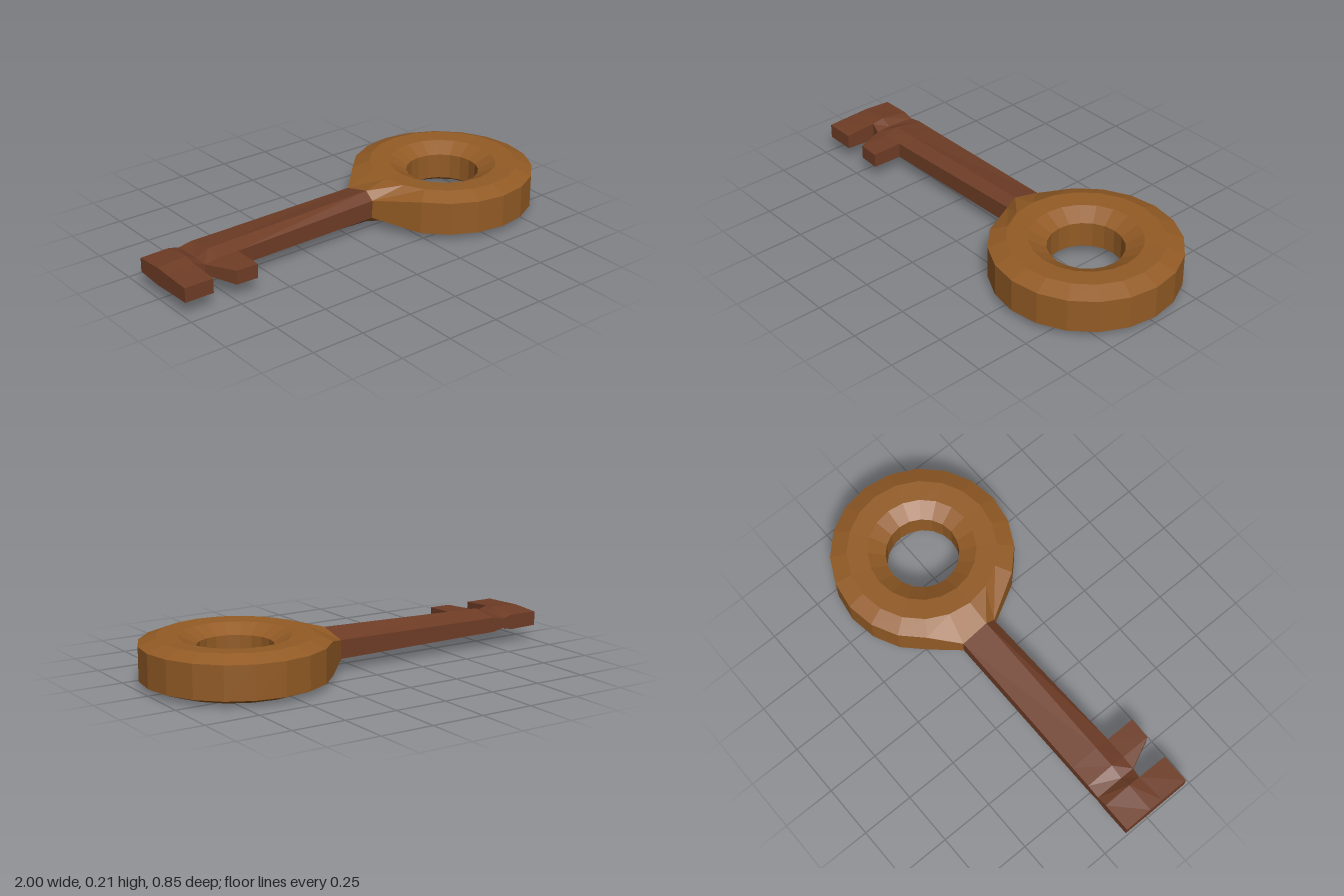
import * as THREE from 'three';

const MID = 0.108; // height of the plane of symmetry

// Skin between neighbouring closed sections; optional wrap-around and start cap.
function loft(sections, { wrap = false, cap = false } = {}) {
  const pos = [];
  const tri = (a, b, c) => pos.push(...a, ...b, ...c);
  const n = sections.length;
  const m = sections[0].length;
  for (let i = 0; i < (wrap ? n : n - 1); i++) {
    const s = sections[i];
    const t = sections[(i + 1) % n];
    for (let j = 0; j < m; j++) {
      const k = (j + 1) % m;
      tri(s[j], t[j], t[k]);
      tri(s[j], t[k], s[k]);
    }
  }
  if (cap) for (let j = 1; j < m - 1; j++) tri(sections[0][0], sections[0][j], sections[0][j + 1]);
  const geo = new THREE.BufferGeometry();
  geo.setAttribute('position', new THREE.Float32BufferAttribute(pos, 3));
  geo.computeVertexNormals();
  return geo;
}

export function createModel() {
  const group = new THREE.Group();
  const bowMat = new THREE.MeshStandardMaterial({ color: 0x935b25, flatShading: true });
  bowMat.name = 'golden brown';
  const shankMat = new THREE.MeshStandardMaterial({ color: 0x6f3d26, flatShading: true });
  shankMat.name = 'red brown';

  // Bow: 20-sided bevelled ring whose outer edge is drawn out to meet the shank
  const SIDES = 20;
  const CX = 0.575;
  const neck = { 9: [0.045, 0.043], 10: [0, 0.077], 11: [-0.135, 0.043] }; // z, half height
  const ring = [];
  for (let i = 0; i < SIDES; i++) {
    const a = (i / SIDES) * Math.PI * 2;
    const at = (r, h) => [CX + r * Math.cos(a), MID + h, r * Math.sin(a)];
    const outer = (s) => neck[i]
      ? [0.115, MID + s * neck[i][1], neck[i][0]]
      : at(0.424, s * 0.077);
    ring.push([
      outer(1), outer(-1),
      at(0.345, -0.107), at(0.25, -0.103), at(0.17, -0.06),
      at(0.17, 0.06), at(0.25, 0.103), at(0.345, 0.107),
    ]);
  }
  const bow = new THREE.Mesh(loft(ring, { wrap: true }), bowMat);
  bow.name = 'bow';
  group.add(bow);

  // Shank and teeth: x, back half height, ridge half height,
  // shoulder z and half height, tooth tip z and half height
  const stations = [
    [-1, 0.033, 0.042, 0.07, 0.038, 0.21, 0.034],
    [-0.86, 0.036, 0.053, 0.06, 0.044, 0.21, 0.034],
    [-0.86, 0.036, 0.053, 0.06, 0.044],
    [-0.81, 0.023, 0.028, 0.07, 0.025],
    [-0.745, 0.035, 0.055, 0.07, 0.036, 0.212, 0.033],
    [-0.64, 0.035, 0.057, 0.07, 0.036, 0.216, 0.033],
    [-0.64, 0.035, 0.057, 0.07, 0.036],
    [0.115, 0.043, 0.077, 0.045, 0.043],
  ];
  const sections = stations.map(([x, hb, hr, zs, hs, zt = zs, ht = hs]) => {
    const half = [[zt, ht], [zs, hs], [0, hr], [-0.135, hb]];
    return [
      ...half.map(([z, h]) => [x, MID + h, z]),
      ...half.reverse().map(([z, h]) => [x, MID - h, z]),
    ];
  });
  const shank = new THREE.Mesh(loft(sections, { cap: true }), shankMat);
  shank.name = 'shankAndTeeth';
  group.add(shank);

  return group;
}
